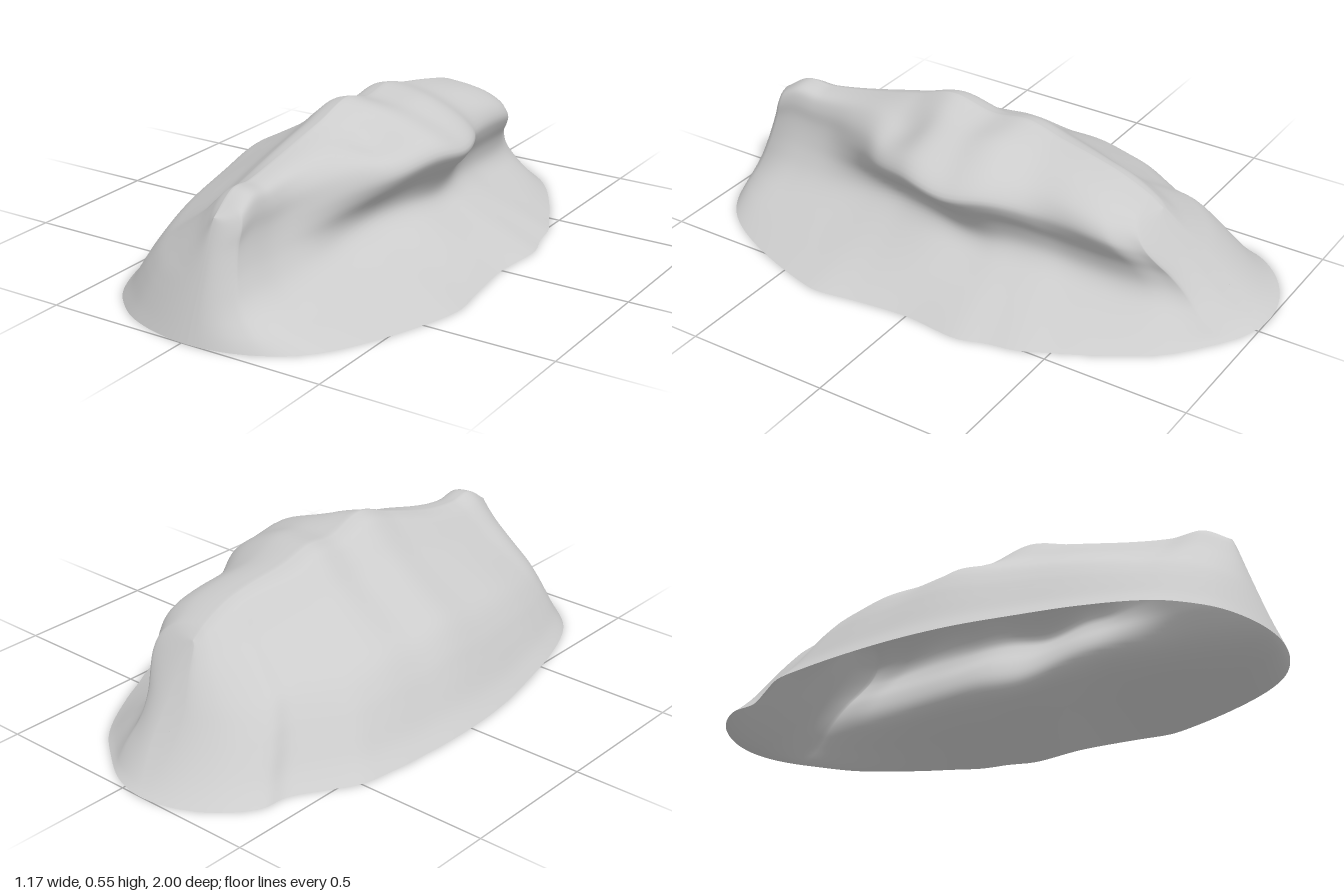
import * as THREE from 'three';

const { lerp, smoothstep } = THREE.MathUtils;
const bump = (x, c, w) => Math.exp(-(((x - c) / w) ** 2));
const spline = (pts) => new THREE.SplineCurve(pts.map(([x, y]) => new THREE.Vector2(x, y)));

// Smooth (Hermite) lookup in a list of [key, value] pairs with ascending keys
function lookup(table, k) {
  const last = table.length - 1;
  if (k <= table[0][0]) return table[0][1];
  if (k >= table[last][0]) return table[last][1];
  const tangent = (i) => {
    const a = table[Math.max(i - 1, 0)], b = table[Math.min(i + 1, last)];
    return (b[1] - a[1]) / (b[0] - a[0]);
  };
  const i = table.findIndex(([key]) => key > k) - 1;
  const [k0, v0] = table[i], [k1, v1] = table[i + 1];
  const d = k1 - k0, t = (k - k0) / d, t2 = t * t, t3 = t2 * t;
  return v0 * (2 * t3 - 3 * t2 + 1) + v1 * (3 * t2 - 2 * t3)
    + d * (tangent(i) * (t3 - 2 * t2 + t) + tangent(i + 1) * (t3 - t2));
}

// Ground outline: left (-x) and right (+x) edge along z, keyed by angle so the tips stay round
const byAngle = (table) => table.map(([z, x]) => [Math.asin(z), x]);
const edgeLeft = byAngle([[-1, -0.08], [-0.97, -0.22], [-0.9, -0.33], [-0.8, -0.405], [-0.7, -0.42],
  [-0.6, -0.48], [-0.5, -0.54], [-0.4, -0.56], [-0.2, -0.58], [0, -0.585], [0.2, -0.57], [0.4, -0.53],
  [0.6, -0.48], [0.8, -0.395], [0.9, -0.3], [0.95, -0.22], [1, 0.02]]);
const edgeRight = byAngle([[-1, -0.08], [-0.97, 0.05], [-0.9, 0.16], [-0.8, 0.28], [-0.6, 0.41],
  [-0.5, 0.46], [-0.4, 0.51], [-0.3, 0.53], [-0.2, 0.56], [0, 0.545], [0.2, 0.565], [0.33, 0.585],
  [0.4, 0.575], [0.6, 0.51], [0.8, 0.41], [0.9, 0.32], [0.97, 0.19], [1, 0.02]]);

// Ridge height, and how far the lip hangs over (0 to 1), along z
const ridgeHeight = [[-0.65, 0.365], [-0.6, 0.4], [-0.5, 0.445], [-0.4, 0.47], [-0.25, 0.495],
  [-0.13, 0.525], [0, 0.515], [0.15, 0.55], [0.3, 0.505], [0.5, 0.45], [0.67, 0.425], [0.77, 0.43],
  [0.87, 0.37]];
const overhang = [[-0.65, 0.35], [-0.58, 0.42], [-0.5, 0.58], [-0.3, 0.62], [-0.2, 0.72], [-0.1, 0.92],
  [0, 1], [0.1, 0.98], [0.2, 0.84], [0.3, 0.66], [0.4, 0.4], [0.5, 0.2], [0.6, 0.05], [0.7, 0], [0.87, 0]];

// Profiles as [share of width, share of height]
const slope = spline([[0, 0], [0.08, 0.11], [0.16, 0.27], [0.23, 0.4], [0.33, 0.53], [0.49, 0.64],
  [0.7, 0.78], [0.83, 0.9], [0.91, 0.97], [1, 1]]);
const plainFace = spline([[0, 1], [0.08, 0.99], [0.14, 0.95], [0.17, 0.85], [0.18, 0.72], [0.21, 0.59],
  [0.26, 0.46], [0.34, 0.33], [0.45, 0.23], [0.6, 0.15], [0.78, 0.08], [1, 0]]);
const curledFace = spline([[0, 1], [0.17, 0.975], [0.35, 0.93], [0.56, 0.84], [0.665, 0.74], [0.62, 0.65],
  [0.5, 0.52], [0.44, 0.4], [0.47, 0.31], [0.58, 0.23], [0.76, 0.13], [1, 0]]);

function buildMound() {
  const rows = 120, half = 44, cols = half * 2 + 1;
  const positions = [], index = [];
  for (let r = 0; r <= rows; r++) {
    const c = Math.cos(Math.PI * r / rows), s = Math.sin(Math.PI * r / rows);
    const baseZ = c, crestZ = 0.11 + 0.76 * c;
    const xl = lookup(edgeLeft, Math.asin(baseZ)), xr = lookup(edgeRight, Math.asin(baseZ));
    const crestX = 0.025 + 0.01 * Math.sin(crestZ * 9);
    const height = lookup(ridgeHeight, crestZ), curl = lookup(overhang, crestZ);
    const lipWidth = 0.54 * Math.min(1, 3 * s);
    const sweep = 1 + 0.25 * Math.min(c, 0); // hollows the back tip
    const taper = 0.4 * smoothstep(crestZ, 0.4, 0.8); // flattens the front shoulder
    const end = r === 0 || r === rows;
    for (let j = 0; j < cols; j++) {
      let x, h, dent;
      if (j <= half) {
        // long windward slope with shallow gullies
        const p = slope.getPoint(j / half);
        h = lerp(p.y, p.x, taper);
        x = lerp(xl, crestX, p.x);
        dent = 0.005 * Math.sin(Math.PI * h) * Math.sin(crestZ * 11 + p.x * 4);
      } else {
        // curled lee side, fading to a plain face at the front tip
        const t = (j - half) / half;
        const a = plainFace.getPoint(t), b = curledFace.getPoint(t);
        h = lerp(a.y, b.y, curl);
        x = crestX + lerp(a.x, b.x, curl) * lerp(xr - crestX, lipWidth, h);
        // deeper neck below the front half of the lip
        x -= 0.045 * bump(crestZ, 0.32, 0.16) * bump(h, 0.4, 0.18);
        // hollow and knob on top of the lip
        dent = bump(t, 0.17, 0.1) * (0.015 * bump(crestZ, -0.06, 0.09) - 0.045 * bump(crestZ, 0.23, 0.11));
        dent += 0.004 * Math.sin(Math.PI * t) * Math.sin(crestZ * 15 + t * 6);
      }
      if (end) x = lerp(xl, crestX, h);
      const z = lerp(baseZ, crestZ, Math.max(h, 0) ** sweep);
      positions.push(x, Math.max(0, height * h + dent * s * s), z);
    }
  }
  for (let r = 0; r < rows; r++) {
    for (let j = 0; j < cols - 1; j++) {
      const a = r * cols + j, b = a + cols;
      index.push(a, a + 1, b, a + 1, b + 1, b);
    }
  }
  const geometry = new THREE.BufferGeometry();
  geometry.setAttribute('position', new THREE.Float32BufferAttribute(positions, 3));
  geometry.setIndex(index);
  geometry.computeVertexNormals();
  return geometry;
}

export function createModel() {
  const group = new THREE.Group();
  group.name = 'overhangingMound';
  // Open-bottomed shell
  const mound = new THREE.Mesh(buildMound(),
    new THREE.MeshStandardMaterial({ color: 0xcccccc, side: THREE.DoubleSide }));
  mound.name = 'moundShell';
  group.add(mound);
  return group;
}
